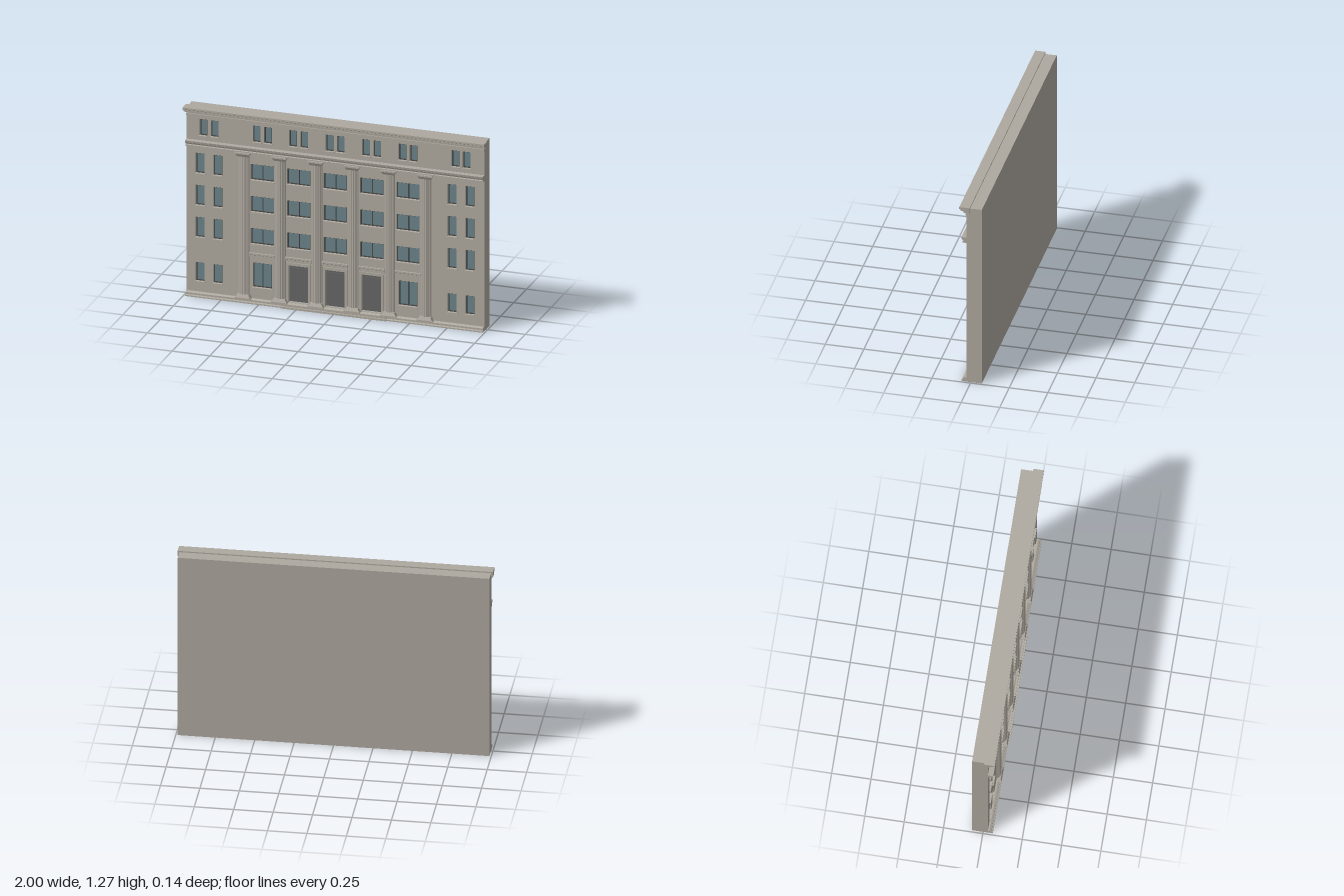
import * as THREE from 'three';

export function createModel() {
  const root = new THREE.Group();
  const mat = (name, color, side = THREE.FrontSide) => {
    const m = new THREE.MeshStandardMaterial({ color, side });
    m.name = name;
    return m;
  };
  const stone = mat('stone', 0xaea99f, THREE.DoubleSide);
  const glass = mat('window glass', 0x6a8289);
  const frame = mat('window frame', 0x4a4a47);
  const door = mat('door grey', 0x666666);

  const add = (name, geo, m, parent = root) => {
    const mesh = new THREE.Mesh(geo, m);
    mesh.name = name;
    parent.add(mesh);
    return mesh;
  };
  // Box given by its limits
  const box = (name, x0, x1, y0, y1, z0, z1, m = stone, parent = root) =>
    add(name, new THREE.BoxGeometry(x1 - x0, y1 - y0, z1 - z0)
      .translate((x0 + x1) / 2, (y0 + y1) / 2, (z0 + z1) / 2), m, parent);
  const rect = (T, x0, x1, y0, y1) => new T([
    [x0, y0], [x1, y0], [x1, y1], [x0, y1]].map(p => new THREE.Vector2(...p)));
  // Moulding: a (z, y) profile run along x
  const moulding = (name, pts, cx, length) => {
    const s = new THREE.Shape(pts.map(p => new THREE.Vector2(...p)));
    const g = new THREE.ExtrudeGeometry(s, { depth: length, bevelEnabled: false });
    add(name, g.rotateY(-Math.PI / 2).translate(cx + length / 2, 0, 0), stone);
  };
  // Block whose lower and upper outlines differ, back flat against the wall
  const flared = (name, x, y0, y1, w0, w1, d0, d1, parent) => {
    const g = new THREE.BoxGeometry(1, 1, 1).translate(0, 0.5, 0.5);
    const p = g.attributes.position;
    for (let i = 0; i < p.count; i++) {
      const t = p.getY(i) > 0.5;
      p.setXYZ(i, x + p.getX(i) * (t ? w1 : w0), t ? y1 : y0, 0.03 + p.getZ(i) * (t ? d1 : d0));
    }
    g.computeVertexNormals();
    add(name, g, stone, parent);
  };

  const bays = [-0.485, -0.244, -0.002, 0.241, 0.482];
  const openings = [];
  // Attic pairs
  for (const c of [-0.838, ...bays, 0.834])
    for (const s of [-1, 1]) openings.push({ x: c + s * 0.037, w: 0.052, y0: 1.08, y1: 1.19, panes: 1 });
  // Side wings
  for (const x of [-0.898, -0.78, 0.775, 0.893])
    for (const [y0, y1] of [[0.825, 0.96], [0.61, 0.745], [0.395, 0.53], [0.1, 0.225]])
      openings.push({ x, w: 0.06, y0, y1, panes: 1 });
  // Wide windows and doors between the columns
  bays.forEach((x, i) => {
    for (const [y0, y1] of [[0.825, 0.93], [0.61, 0.715], [0.395, 0.5]])
      openings.push({ x, w: 0.155, y0, y1, panes: 2 });
    if (i === 0 || i === 4) openings.push({ x, w: 0.126, y0: 0.105, y1: 0.27, panes: 2 });
    else openings.push({ x, w: 0.128, y0: 0.035, y1: 0.282, door: true });
  });

  // Pierced front wall and the open-bottomed shell behind it
  const wall = rect(THREE.Shape, -0.988, 0.988, 0, 1.262);
  for (const o of openings)
    wall.holes.push(rect(THREE.Path, o.x - o.w / 2, o.x + o.w / 2, o.y0, o.y1));
  add('frontWall', new THREE.ExtrudeGeometry(wall, { depth: 0.025, bevelEnabled: false })
    .translate(0, 0, 0.005), stone);
  box('backWall', -0.988, 0.988, 0, 1.262, -0.07, -0.064);
  box('roof', -0.988, 0.988, 1.256, 1.262, -0.07, 0.03);
  for (const s of [-1, 1])
    box('sideWall', s * 0.985 - 0.003, s * 0.985 + 0.003, 0, 1.262, -0.07, 0.03);

  // Fill the openings
  for (const o of openings) {
    const g = new THREE.Group();
    g.name = o.door ? 'doorway' : 'window';
    root.add(g);
    const x0 = o.x - o.w / 2, x1 = o.x + o.w / 2;
    if (o.door) {
      box('doorPanel', x0, x1, o.y0, o.y1, 0.008, 0.014, door, g);
      box('doorTransom', x0, x1, 0.257, 0.262, 0.014, 0.018, door, g);
      const s = rect(THREE.Shape, x0 - 0.017, x1 + 0.017, 0.032, 0.3);
      s.holes.push(rect(THREE.Path, x0, x1, 0.033, o.y1));
      add('doorSurround', new THREE.ExtrudeGeometry(s, { depth: 0.007, bevelEnabled: false })
        .translate(0, 0, 0.03), stone, g);
      continue;
    }
    box('glass', x0, x1, o.y0, o.y1, 0.008, 0.012, glass, g);
    const t = 0.006;
    const s = rect(THREE.Shape, x0, x1, o.y0, o.y1);
    const step = (o.w - t) / o.panes;
    for (let i = 0; i < o.panes; i++)
      s.holes.push(rect(THREE.Path, x0 + t + i * step, x0 + (i + 1) * step, o.y0 + t, o.y1 - t));
    add('windowFrame', new THREE.ExtrudeGeometry(s, { depth: 0.006, bevelEnabled: false })
      .translate(0, 0, 0.012), frame, g);
    box('sill', x0 - 0.004, x1 + 0.004, o.y0 - 0.006, o.y0, 0.012, 0.04, stone, g);
  }

  // Fluted half columns
  const outline = [new THREE.Vector2(0.035, 0)];
  const flutes = 9, per = 4;
  for (let i = 0; i <= flutes * per; i++) {
    const a = Math.PI * i / (flutes * per);
    const r = 1 - 0.1 * Math.sin(Math.PI * (i % per) / per);
    outline.push(new THREE.Vector2(0.035 * r * Math.cos(a), 0.004 + 0.021 * r * Math.sin(a)));
  }
  outline.push(new THREE.Vector2(-0.035, 0));
  const shaft = new THREE.ExtrudeGeometry(new THREE.Shape(outline), { depth: 0.935, bevelEnabled: false })
    .rotateX(Math.PI / 2).translate(0, 0.985, 0.03);
  for (let i = 0; i < 6; i++) {
    const x = -0.606 + i * 0.2418;
    const g = new THREE.Group();
    g.name = 'column';
    root.add(g);
    add('columnShaft', shaft, stone, g).position.x = x;
    flared('columnPlinth', x, 0.028, 0.036, 0.104, 0.104, 0.036, 0.036, g);
    flared('columnBase', x, 0.036, 0.056, 0.098, 0.074, 0.034, 0.027, g);
    flared('capital', x, 0.982, 1.0, 0.074, 0.096, 0.027, 0.036, g);
    flared('capitalSlab', x, 1.0, 1.01, 0.1, 0.1, 0.038, 0.038, g);
  }

  // Ledges over the ground floor
  for (const x of bays)
    moulding('bayLedge', [[0.03, 0.31], [0.036, 0.31], [0.036, 0.321], [0.043, 0.325],
      [0.043, 0.336], [0.03, 0.336]], x, 0.17);

  // Belt course, crowning cornice, plinth and entrance step
  moulding('beltCourse', [[0.03, 1.008], [0.055, 1.008], [0.055, 1.017], [0.048, 1.02], [0.05, 1.026],
    [0.06, 1.032], [0.063, 1.046], [0.03, 1.048]], 0, 1.976);
  moulding('corniceBand', [[0.03, 1.208], [0.037, 1.208], [0.037, 1.222], [0.03, 1.222]], 0, 1.976);
  moulding('cornice', [[0.006, 1.232], [0.045, 1.232], [0.046, 1.243], [0.066, 1.246], [0.066, 1.254],
    [0.073, 1.258], [0.073, 1.27], [0.006, 1.27]], 0, 2);
  moulding('plinth', [[0.03, 0], [0.062, 0], [0.062, 0.008], [0.052, 0.012], [0.052, 0.024],
    [0.04, 0.03], [0.03, 0.03]], 0, 1.976);
  box('entranceStep', -0.35, 0.35, 0, 0.012, 0.03, 0.072);
  box('entranceLanding', -0.35, 0.35, 0.012, 0.026, 0.03, 0.06);
  return root;
}
